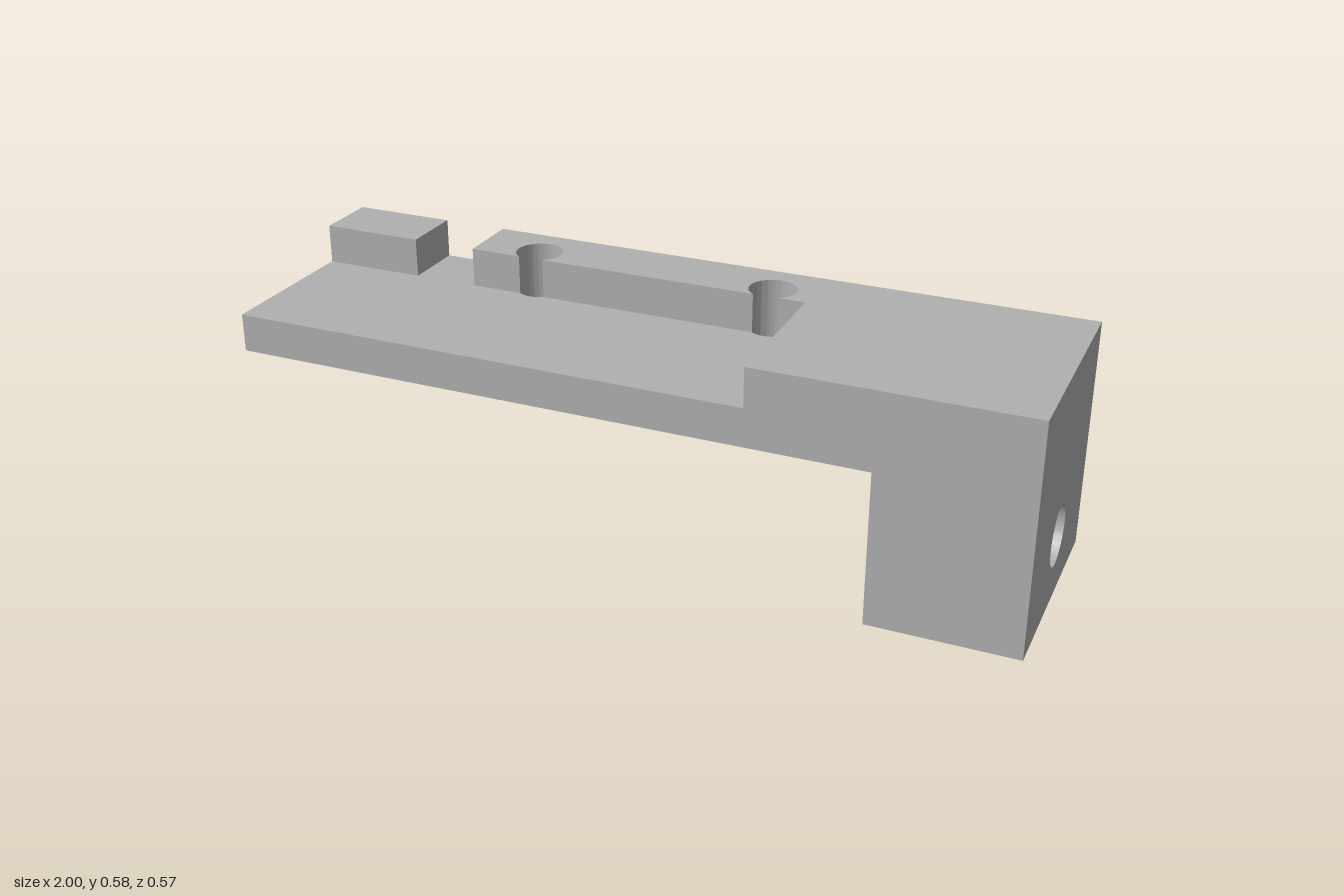
import * as THREE from 'three';
import { toCreasedNormals } from 'three/addons/utils/BufferGeometryUtils.js';

const HALF_DEPTH = 0.284, RAIL = 0.12;            // half depth, front edge of the rail
const UNDER = 0.388, DECK = 0.485, TOP = 0.585;   // height levels
const HOLES = [-0.4, 0.233], HOLE_S = 0.17, HOLE_R = 0.06;

const rect = (x0, y0, x1, y1) => new THREE.Shape([
  new THREE.Vector2(x0, y0), new THREE.Vector2(x1, y0),
  new THREE.Vector2(x1, y1), new THREE.Vector2(x0, y1),
]);

function addHole(shape, x, y, r) {
  const path = new THREE.Path();
  path.absarc(x, y, r, 0, Math.PI * 2, true);
  shape.holes.push(path);
}

const extrude = (shape, depth) =>
  new THREE.ExtrudeGeometry(shape, { depth, bevelEnabled: false, curveSegments: 48 });

// Plan outline (x, -z) raised from y0 to y1
const slab = (shape, y0, y1) =>
  extrude(shape, y1 - y0).rotateX(-Math.PI / 2).translate(0, y0, 0);

export function createModel() {
  const group = new THREE.Group();
  const grey = new THREE.MeshStandardMaterial({ color: 0xb0b0b0 });
  grey.name = 'machined grey';

  const add = (name, geometry) => {
    const mesh = new THREE.Mesh(toCreasedNormals(geometry, 0.5), grey);
    mesh.name = name;
    group.add(mesh);
  };

  // Long base plate with two through holes
  const plate = rect(-1, -HALF_DEPTH, 1, HALF_DEPTH);
  HOLES.forEach((x) => addHole(plate, x, HOLE_S, HOLE_R));
  add('basePlate', slab(plate, UNDER, DECK));

  // L-shaped rail and raised end; the holes break through the rail's front face
  const rail = new THREE.Shape();
  rail.moveTo(-0.567, HALF_DEPTH);
  rail.lineTo(-0.567, RAIL);
  const drop = RAIL - HOLE_S;
  const half = Math.sqrt(HOLE_R ** 2 - drop ** 2);
  HOLES.forEach((x) =>
    rail.absarc(x, HOLE_S, HOLE_R, Math.atan2(drop, -half), Math.atan2(drop, half), true));
  rail.lineTo(0.333, RAIL);
  rail.lineTo(0.333, -HALF_DEPTH);
  rail.lineTo(1, -HALF_DEPTH);
  rail.lineTo(1, HALF_DEPTH);
  rail.closePath();
  add('railAndRaisedEnd', slab(rail, DECK, TOP));

  // Small stop at the far end of the rail
  add('endStop', slab(rect(-1, RAIL, -0.735, HALF_DEPTH), DECK, TOP));

  // Foot block with a lengthwise bore
  const foot = rect(-HALF_DEPTH, 0, HALF_DEPTH, UNDER);
  addHole(foot, 0, 0.167, 0.076);
  add('footBlock', extrude(foot, 0.367).rotateY(Math.PI / 2).translate(0.633, 0, 0));

  return group;
}
